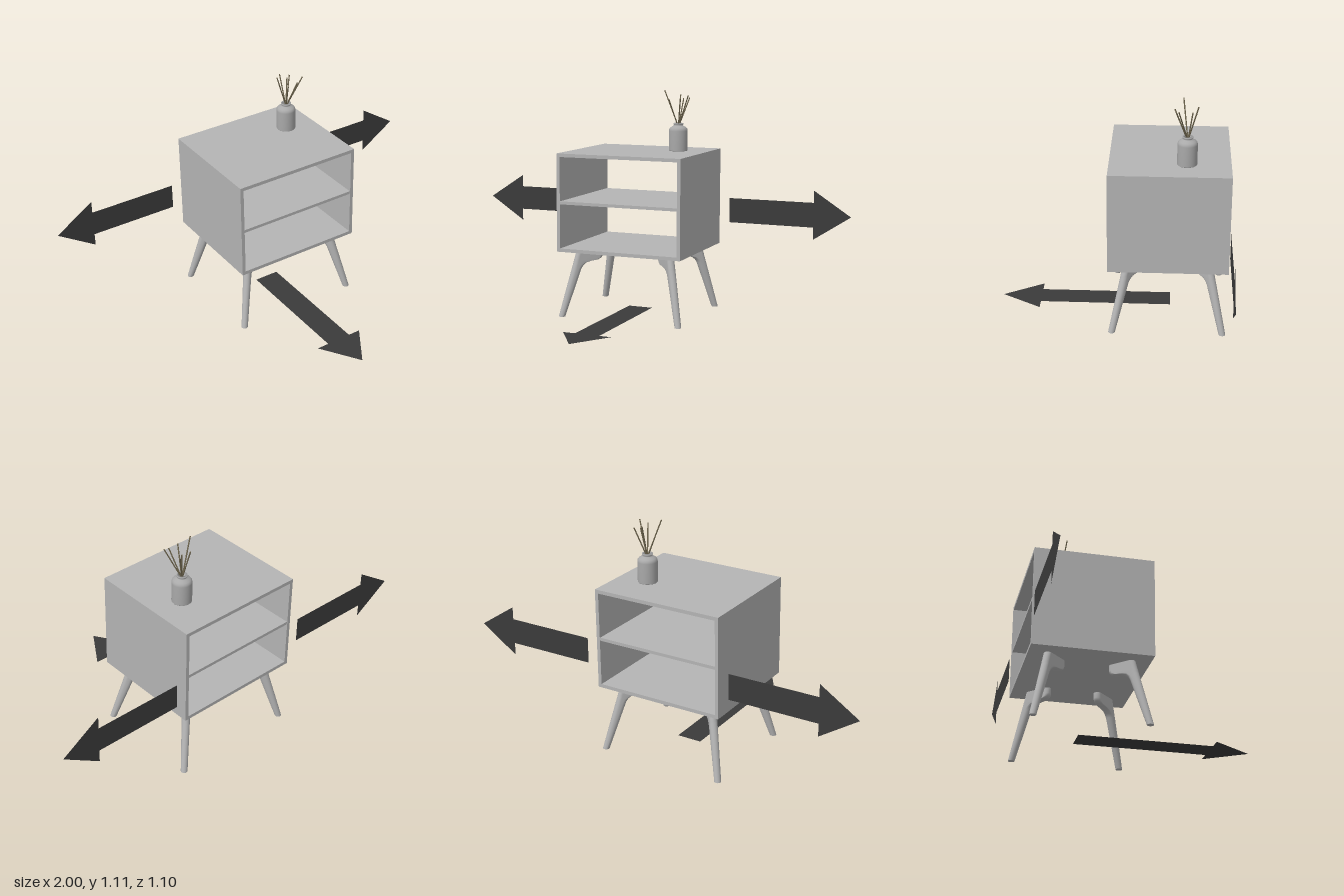
import * as THREE from 'three';

const material = (name, color, side = THREE.FrontSide) => {
  const m = new THREE.MeshStandardMaterial({ color, side });
  m.name = name;
  return m;
};

// Flat arrow in the XY plane, pointing along +x from tail to tip
function arrowGeometry(tail, neck, tip) {
  const s = 0.062, h = 0.123;
  const points = [[tail, -s], [neck, -s], [neck, -h], [tip, 0], [neck, h], [neck, s], [tail, s]];
  return new THREE.ShapeGeometry(new THREE.Shape(points.map(([x, y]) => new THREE.Vector2(x, y))));
}

// Leg lofted from rounded slots; x is the outward direction, origin at the foot centre
function legGeometry() {
  // height, outer edge, inner edge, half thickness
  const rows = [
    [0, 0.016, -0.016, 0.016],
    [0.12, -0.019, -0.06, 0.0175],
    [0.235, -0.053, -0.102, 0.019],
    [0.252, -0.058, -0.113, 0.019],
    [0.265, -0.062, -0.13, 0.019],
    [0.272, -0.064, -0.155, 0.019],
    [0.277, -0.065, -0.193, 0.019],
    [0.286, -0.068, -0.21, 0.019],
    [0.3, -0.072, -0.216, 0.019],
    [0.329, -0.08, -0.216, 0.019],
  ];
  const half = 9, ring = half * 2, positions = [], index = [];
  const addRing = ([y, outer, inner, r]) => {
    for (let i = 0; i < ring; i++) {
      const front = i < half;
      const a = -Math.PI / 2 + (front ? i : i - 1) * Math.PI / (half - 1);
      const c = front ? outer - r : inner + r;
      positions.push(c + r * Math.cos(a), y, r * Math.sin(a));
    }
  };
  rows.forEach(addRing);
  for (let j = 0; j < rows.length - 1; j++) {
    for (let i = 0; i < ring; i++) {
      const a = j * ring + i, b = j * ring + (i + 1) % ring;
      index.push(a, a + ring, b, b, a + ring, b + ring);
    }
  }
  // Flat sole and top with their own vertices
  addRing(rows[0]);
  addRing(rows[rows.length - 1]);
  const sole = rows.length * ring, top = sole + ring;
  for (let i = 1; i < ring - 1; i++) {
    index.push(sole, sole + i, sole + i + 1, top, top + i + 1, top + i);
  }
  const g = new THREE.BufferGeometry();
  g.setAttribute('position', new THREE.Float32BufferAttribute(positions, 3));
  g.setIndex(index);
  g.computeVertexNormals();
  return g;
}

export function createModel() {
  const model = new THREE.Group();
  const grey = material('pale grey', 0xb4b4b4);
  const vaseGrey = material('vase grey', 0xa9a9a9, THREE.DoubleSide);
  const dark = material('charcoal', 0x3b3b3b, THREE.DoubleSide);
  const reedBrown = material('reed brown', 0x6e654e);

  const add = (parent, name, geometry, mat, x = 0, y = 0, z = 0) => {
    const mesh = new THREE.Mesh(geometry, mat);
    mesh.name = name;
    mesh.position.set(x, y, z);
    parent.add(mesh);
    return mesh;
  };

  // Open cabinet: one frame extruded front to back, plus a shelf
  const cabinet = new THREE.Group();
  cabinet.name = 'cabinet';
  model.add(cabinet);
  const W = 0.323, bottom = 0.328, top = 0.813, back = -0.55, depth = 0.565, t = 0.017;
  const midZ = back + depth / 2;
  const rectangle = (path, x, y0, y1) =>
    path.moveTo(-x, y0).lineTo(x, y0).lineTo(x, y1).lineTo(-x, y1).closePath();
  const frame = new THREE.Shape();
  rectangle(frame, W, bottom, top);
  const opening = new THREE.Path();
  rectangle(opening, W - t, bottom + t, top - t);
  frame.holes.push(opening);
  add(cabinet, 'cabinetFrame', new THREE.ExtrudeGeometry(frame, { depth, bevelEnabled: false }), grey, 0, 0, back);
  add(cabinet, 'shelf', new THREE.BoxGeometry(2 * (W - t), 0.015, depth - 0.006), grey, 0, 0.571, midZ);

  // Four legs splayed along the diagonals
  const leg = legGeometry();
  for (const sx of [1, -1]) {
    for (const sz of [1, -1]) {
      const mesh = add(model, sz > 0 ? 'frontLeg' : 'backLeg', leg, grey, sx * 0.308, 0, midZ + sz * 0.262);
      mesh.rotation.y = Math.atan2(-sz, sx);
    }
  }

  // Reed diffuser: bottle and sticks
  const diffuser = new THREE.Group();
  diffuser.name = 'reedDiffuser';
  diffuser.position.set(0.172, top, -0.346);
  model.add(diffuser);
  const profile = [
    [0, 0.001], [0.044, 0.001], [0.0465, 0.004], [0.0465, 0.1], [0.045, 0.109], [0.04, 0.116], [0.031, 0.122],
    [0.023, 0.126], [0.022, 0.13], [0.025, 0.132], [0.025, 0.138], [0.015, 0.138], [0.015, 0.11], [0, 0.11],
  ].map(([r, y]) => new THREE.Vector2(r, y));
  add(diffuser, 'bottle', new THREE.LatheGeometry(profile, 32), vaseGrey);
  const tips = [
    [-0.065, 0.3, 0.022], [0.067, 0.277, 0.043], [-0.027, 0.258, 0.061],
    [-0.006, 0.277, -0.046], [0.02, 0.26, -0.02], [0.03, 0.262, 0.055], [0.045, 0.262, -0.036],
  ];
  for (const [x, y, z] of tips) {
    const end = new THREE.Vector3(x, y, z);
    const start = new THREE.Vector3(-x * 0.12, 0.1, -z * 0.12);
    const dir = end.clone().sub(start);
    const reed = add(diffuser, 'reed', new THREE.CylinderGeometry(0.003, 0.003, dir.length(), 8), reedBrown);
    reed.position.copy(start).add(end).multiplyScalar(0.5);
    reed.quaternion.setFromUnitVectors(new THREE.Vector3(0, 1, 0), dir.normalize());
  }

  // Flat direction arrows: upright on both sides, lying on the floor at the front
  const sideArrow = arrowGeometry(0.375, 0.812, 1);
  add(model, 'leftArrow', sideArrow, dark, 0, 0.5, back);
  add(model, 'rightArrow', sideArrow, dark, 0, 0.5, back).rotation.z = Math.PI;
  const floorArrow = arrowGeometry(-0.28, 0.357, 0.548).rotateX(-Math.PI / 2).rotateY(-Math.PI / 2);
  add(model, 'frontArrow', floorArrow, dark, 0, 0.02, 0);

  return model;
}
